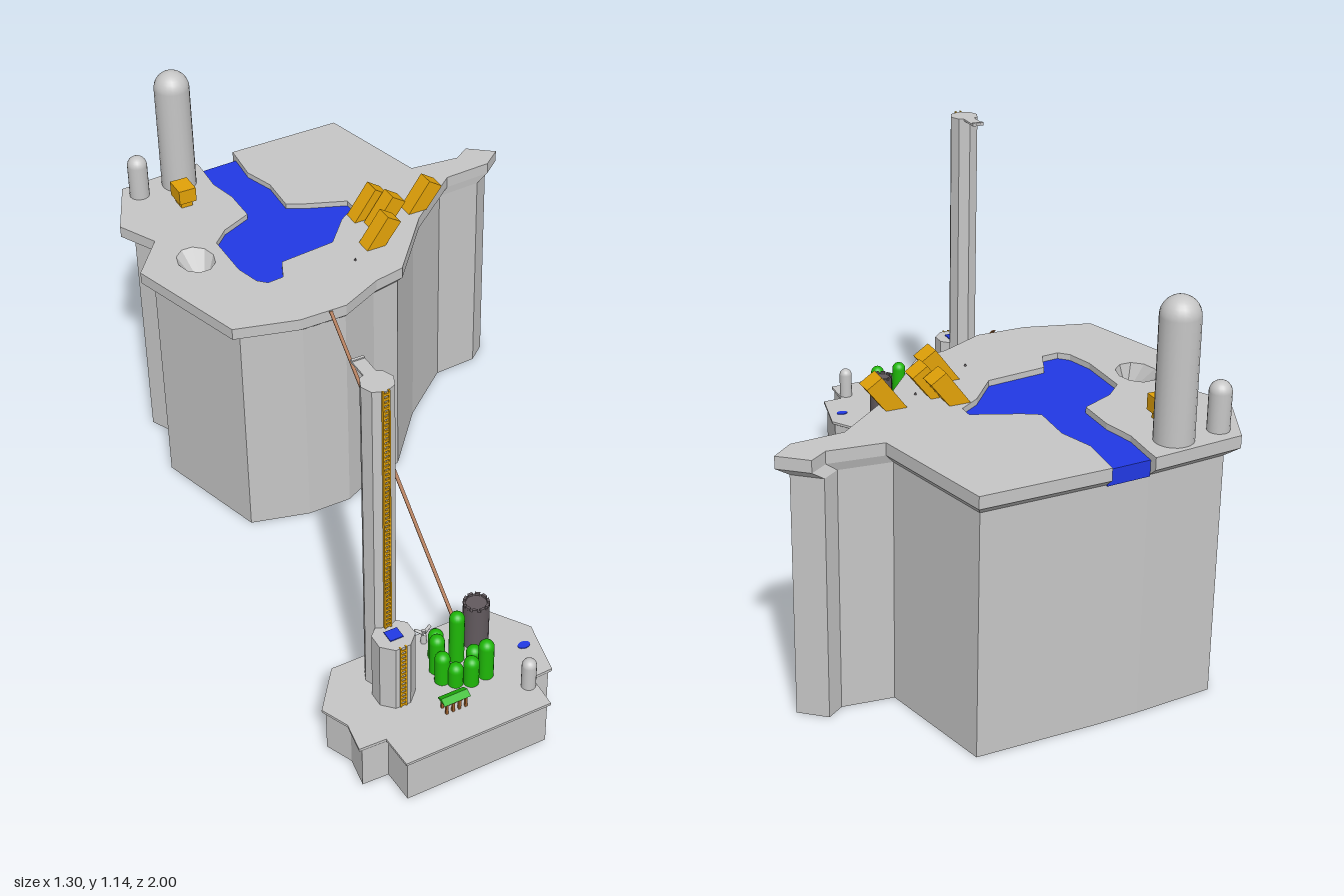
import * as THREE from 'three';

const paint = (name, color) => {
  const m = new THREE.MeshStandardMaterial({ color });
  m.name = name;
  return m;
};

export function createModel() {
  const root = new THREE.Group();
  root.name = 'twinMesas';
  const stone = paint('stone', 0xc6c6c6);
  const water = paint('water', 0x2139e4);
  const yellow = paint('yellow', 0xe2a208);
  const green = paint('green', 0x1fb808);
  const brown = paint('brown', 0xa0622e);
  const dark = paint('darkStone', 0x625a5e);

  const add = (name, geo, mat, x = 0, y = 0, z = 0, parent = root) => {
    const m = new THREE.Mesh(geo, mat);
    m.name = name;
    m.position.set(x, y, z);
    parent.add(m);
    return m;
  };
  const box = (name, mat, w, h, d, x, y, z, parent) =>
    add(name, new THREE.BoxGeometry(w, h, d), mat, x, y, z, parent);
  const flat = (geo) => {
    const g = geo.toNonIndexed();
    g.computeVertexNormals();
    return g;
  };
  const toShape = (pts) => new THREE.Shape(pts.map(([x, z]) => new THREE.Vector2(x, z)));

  // Plan outline (x, z) extruded downwards from y = top
  const slab = (name, pts, top, depth, mat, hole) => {
    const shape = toShape(pts);
    if (hole) shape.holes.push(toShape(hole));
    const g = new THREE.ExtrudeGeometry(shape, { depth, bevelEnabled: false });
    g.rotateX(Math.PI / 2);
    return add(name, g, mat, 0, top, 0);
  };

  // Shrinks a plan outline about the middle of its bounds
  const shrink = (pts, s) => {
    const mid = (k) => {
      const v = pts.map((p) => p[k]);
      return (Math.min(...v) + Math.max(...v)) / 2;
    };
    const cx = mid(0), cz = mid(1);
    return pts.map(([x, z]) => [cx + (x - cx) * s, cz + (z - cz) * s]);
  };

  // Flat-sided skin through plan rings, listed from top to bottom
  const loft = (name, rings, mat) => {
    const pos = [];
    for (let r = 0; r + 1 < rings.length; r++) {
      const [pa, ya] = rings[r], [pb, yb] = rings[r + 1];
      pa.forEach((p, i) => {
        const j = (i + 1) % pa.length;
        const A = [p[0], ya, p[1]], B = [pa[j][0], ya, pa[j][1]];
        const C = [pb[j][0], yb, pb[j][1]], D = [pb[i][0], yb, pb[i][1]];
        pos.push(...A, ...B, ...C, ...A, ...C, ...D);
      });
    }
    const g = new THREE.BufferGeometry();
    g.setAttribute('position', new THREE.Float32BufferAttribute(pos, 3));
    g.computeVertexNormals();
    return add(name, g, mat);
  };

  // Overhanging slope, wall and underside below a mesa's top slab
  const cliff = (name, lip, wall, lipY, wallY, baseY) => {
    loft(name, [[lip, lipY], [wall, wallY], [wall, baseY]], stone);
    add(name + 'Underside', new THREE.ShapeGeometry(toShape(wall)).rotateX(Math.PI / 2), stone, 0, baseY, 0);
  };

  // Round-topped pillar
  const pillar = (name, mat, x, z, r, base, top) => {
    const pts = [new THREE.Vector2(r, 0)];
    for (let i = 0; i <= 8; i++) {
      const a = (i / 8) * Math.PI / 2;
      pts.push(new THREE.Vector2(i === 8 ? 0 : r * Math.cos(a), top - base - r + r * Math.sin(a)));
    }
    add(name, new THREE.LatheGeometry(pts, 20), mat, x, base, z);
  };

  // ---- Large mesa; the river cuts through the lip and spills down to the wall
  const banks = [
    [-0.205, -0.85], [-0.185, -0.76], [-0.185, -0.65], [-0.28, -0.605],
    [-0.33, -0.555], [-0.33, -0.4], [-0.31, -0.325], [-0.285, -0.3], [-0.235, -0.305],
    [-0.205, -0.375], [-0.03, -0.395], [0.05, -0.49], [0.11, -0.53], [0.11, -0.57],
    [-0.015, -0.62], [-0.06, -0.645], [-0.055, -0.765], [-0.085, -0.86]];
  const notchL = [-0.2, -0.985], notchR = [-0.075, -0.993];
  const spillL = [-0.2, -0.955], spillR = [-0.077, -0.962];
  const rest = [
    [0.285, -1], [0.37, -0.64], [0.525, -0.625], [0.575, -0.66], [0.65, -0.6], [0.59, -0.55],
    [0.44, -0.54], [0.255, -0.385], [0.085, -0.18], [-0.01, -0.16], [-0.14, -0.095],
    [-0.285, -0.095], [-0.47, -0.145], [-0.585, -0.52], [-0.485, -0.65], [-0.545, -0.77], [-0.46, -0.96]];
  const crater = Array.from({ length: 10 }, (_, i) => {
    const a = (i / 10) * Math.PI * 2;
    return [-0.418 - 0.055 * Math.cos(a), -0.505 + 0.068 * Math.sin(a)];
  });
  slab('mesaTop', [notchL, spillL, ...banks, spillR, notchR, ...rest], 0.75, 0.035, stone, crater);
  slab('river', [[-0.2, -0.96], ...banks, [-0.077, -0.967]], 0.733, 0.045, water);
  const [, , ...wallRest] = shrink([notchL, notchR, ...rest], 0.935);
  cliff('mesaCliff', [notchL, spillL, spillR, notchR, ...rest],
    [spillL, spillL, spillR, spillR, ...wallRest], 0.715, 0.69, 0);
  loft('crater', [[crater, 0.75], [crater.map(() => [-0.418, -0.455]), 0.665]], stone);

  pillar('largeSilo', stone, -0.293, -0.91, 0.053, 0.75, 1.135);
  pillar('smallSilo', stone, -0.425, -0.905, 0.03, 0.75, 0.885);
  box('hutBase', yellow, 0.036, 0.025, 0.045, -0.326, 0.76, -0.797);
  box('hut', yellow, 0.054, 0.045, 0.068, -0.326, 0.7925, -0.797);

  // Leaning blocks
  const lean = toShape([[0, 0], [0.06, 0], [0.112, 0.067], [0.07, 0.095]]);
  for (const [x, z] of [[0.237, -0.441], [0.074, -0.478], [0.1, -0.418], [0.037, -0.33]]) {
    const g = new THREE.ExtrudeGeometry(lean, { depth: 0.052, bevelEnabled: false });
    add('leaningBlock', g, yellow, x, 0.75, z - 0.026);
  }
  for (const [x, z] of [[-0.015, -0.28], [0.185, -0.4]])
    add('pebble', new THREE.ConeGeometry(0.004, 0.008, 5), dark, x, 0.754, z);
  add('waterDrop', new THREE.SphereGeometry(0.005, 8, 6), water, 0.157, 0.686, -0.29);

  // ---- Rope between the mesas
  const from = new THREE.Vector3(-0.193, 0.752, -0.088), to = new THREE.Vector3(-0.193, 0.152, 0.63);
  const rope = box('rope', brown, 0.01, 0.003, from.distanceTo(to), 0, 0, 0);
  rope.position.copy(from).lerp(to, 0.5);
  rope.lookAt(to);

  // ---- Small mesa
  const G = 0.155;
  const plan = [
    [-0.565, 0.612], [-0.1, 0.612], [-0.018, 0.735], [-0.052, 0.895], [-0.115, 0.897], [-0.12, 0.998],
    [-0.55, 0.998], [-0.555, 0.9], [-0.632, 0.897], [-0.62, 0.81], [-0.655, 0.732]];
  slab('islandTop', plan, G, 0.008, stone);
  cliff('islandCliff', plan, shrink(plan, 0.967), 0.147, 0.141, 0.013);

  // Towers, lookout plank and ladders
  const octagon = (name, r, h, x, z, turn) =>
    add(name, flat(new THREE.CylinderGeometry(r, r, h, 8).rotateY(turn)), stone, x, G + h / 2, z);
  octagon('tallTower', 0.044, 0.985, -0.461, 0.693, 0);
  octagon('lowTower', 0.057, 0.213, -0.461, 0.767, Math.PI / 8);
  box('lookoutPlank', stone, 0.035, 0.006, 0.08, -0.461, 1.137, 0.63);
  box('plankEnd', stone, 0.035, 0.009, 0.008, -0.461, 1.139, 0.595);
  box('towerPool', water, 0.038, 0.004, 0.036, -0.461, 0.369, 0.768);
  const ladder = (y0, y1, z) => {
    const g = new THREE.Group();
    g.name = 'ladder';
    root.add(g);
    for (const s of [-1, 1]) box('ladderRail', yellow, 0.004, y1 - y0, 0.008, -0.461 + s * 0.008, (y0 + y1) / 2, z, g);
    for (let y = y0 + 0.006; y < y1; y += 0.014) box('ladderRung', yellow, 0.014, 0.007, 0.006, -0.461, y, z, g);
  };
  ladder(0.37, 1.142, 0.737);
  ladder(G, 0.37, 0.819);

  // Grove of rounded plants: x, z, top
  const grove = [[-0.3, 0.705, 0.25], [-0.322, 0.75, 0.28], [-0.255, 0.738, 0.322], [-0.328, 0.79, 0.255],
    [-0.302, 0.815, 0.225], [-0.264, 0.832, 0.245], [-0.235, 0.795, 0.24], [-0.217, 0.828, 0.28]];
  for (const [x, z, top] of grove) pillar('plant', green, x, z, 0.021, G, top);

  // Dark keep with low battlements
  add('keep', new THREE.CylinderGeometry(0.036, 0.036, 0.14, 20), dark, -0.178, G + 0.07, 0.707);
  for (let i = 0; i < 10; i++) {
    const a = (i / 10) * Math.PI * 2;
    const m = box('battlement', dark, 0.014, 0.008, 0.007, -0.178 + 0.032 * Math.sin(a), 0.298, 0.707 + 0.032 * Math.cos(a));
    m.rotation.y = a;
  }
  pillar('boulder', stone, -0.138, 0.915, 0.02, G, 0.25);

  // Gabled green shelter on posts
  const gable = toShape([[-0.019, 0], [0.019, 0], [0, 0.01]]);
  const roof = new THREE.ExtrudeGeometry(gable, { depth: 0.078, bevelEnabled: false });
  add('shelterRoof', roof.rotateY(Math.PI / 2), green, -0.386, 0.191, 0.886);
  for (const x of [-0.376, -0.357, -0.338, -0.319])
    for (const z of [0.874, 0.898]) box('shelterPost', brown, 0.007, 0.037, 0.007, x, G + 0.018, z);

  // Pond and a small branching stump
  add('pond', new THREE.CylinderGeometry(0.018, 0.018, 0.002, 16).scale(1, 1, 0.7), water, -0.072, G + 0.001, 0.785);
  add('stump', new THREE.CylinderGeometry(0.006, 0.009, 0.045, 6), stone, -0.303, G + 0.0225, 0.645);
  for (const [rx, rz] of [[0.9, 0.3], [-0.7, 0.9], [-0.4, -1]]) {
    const g = new THREE.CylinderGeometry(0.004, 0.006, 0.028, 6).translate(0, 0.014, 0);
    add('stumpBranch', g, stone, -0.303, G + 0.033, 0.645).rotation.set(rx, 0, rz);
  }
  return root;
}
